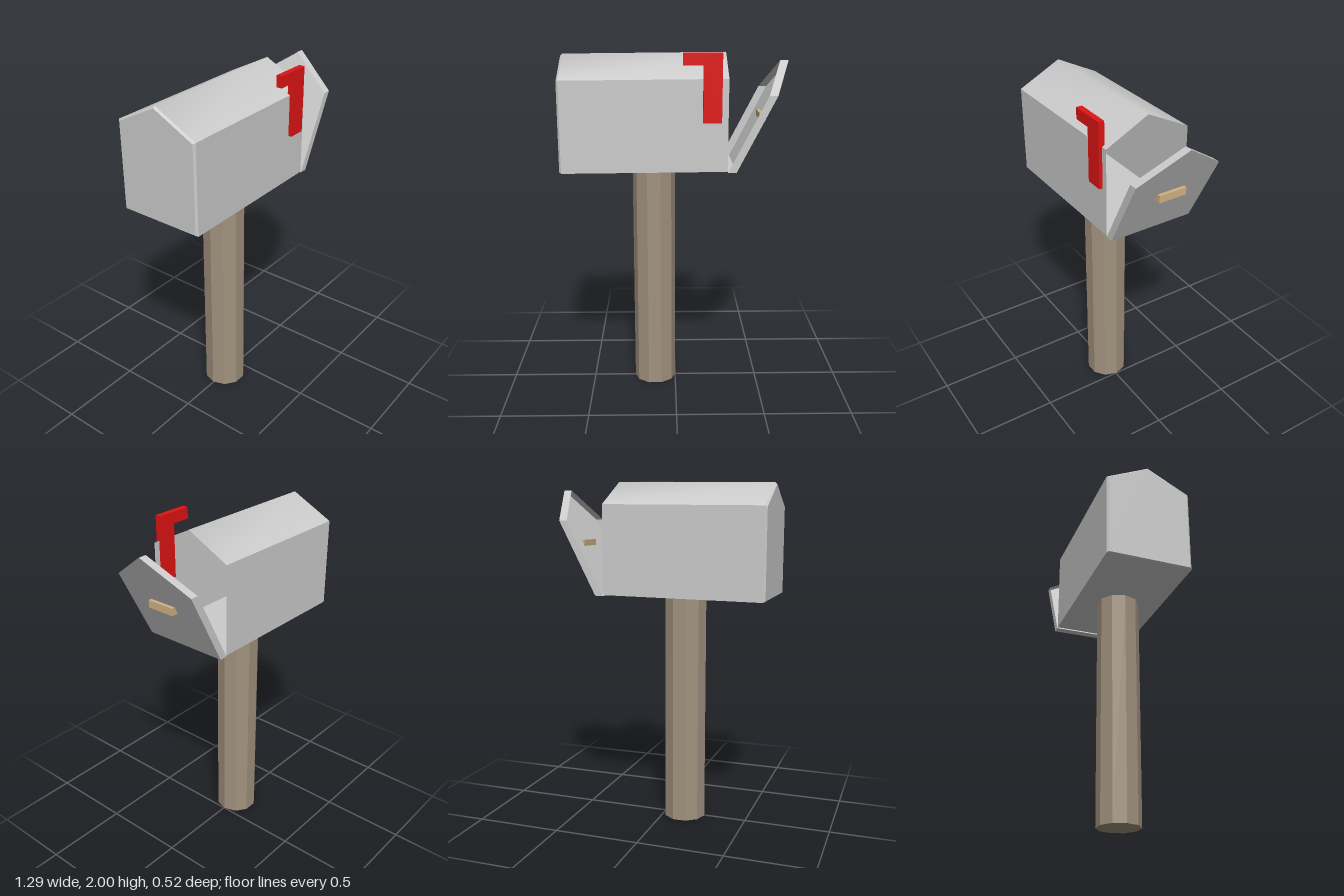
import * as THREE from 'three';
import { toCreasedNormals } from 'three/addons/utils/BufferGeometryUtils.js';

const MID_Z = -0.009;

// Five-cornered house outline; xAt gives x for each height
function houseRing(xAt, half, bottom, eave, ridge) {
  return [[bottom, -half], [bottom, half], [eave, half], [ridge, 0], [eave, -half]]
    .map(([y, z]) => new THREE.Vector3(xAt(y), y, MID_Z + z));
}

// Skin between two outlines (a towards -x, b towards +x), optionally closing one end
function houseShell(a, b, cap) {
  const pts = [];
  for (let i = 0; i < 5; i++) {
    const j = (i + 1) % 5;
    pts.push(a[i], b[j], a[j], a[i], b[i], b[j]);
  }
  for (let i = 1; i < 4; i++) {
    if (cap === 'a') pts.push(a[0], a[i], a[i + 1]);
    if (cap === 'b') pts.push(b[0], b[i + 1], b[i]);
  }
  const geo = new THREE.BufferGeometry().setFromPoints(pts);
  geo.computeVertexNormals();
  return geo;
}

export function createModel() {
  const group = new THREE.Group();
  const sheet = new THREE.MeshStandardMaterial({ color: 0xcccccc, side: THREE.DoubleSide });
  const wood = new THREE.MeshStandardMaterial({ color: 0xa1927e, flatShading: true });
  const brass = new THREE.MeshStandardMaterial({ color: 0xd0b284 });
  const red = new THREE.MeshStandardMaterial({ color: 0xe01414 });

  const add = (name, geo, mat) => {
    const mesh = new THREE.Mesh(geo, mat);
    mesh.name = name;
    group.add(mesh);
    return mesh;
  };

  // Ten-sided wooden post
  add('post', new THREE.CylinderGeometry(0.124, 0.124, 1.348, 10, 1, false, Math.PI / 10), wood)
    .position.set(-0.124, 0.674, -0.004);

  // Thin hollow body, open at the door end, softly shaded across the ridge
  const mouth = houseRing(() => 0.287, 0.251, 1.355, 1.863, 1.99);
  const rear = houseRing(() => -0.634, 0.251, 1.347, 1.855, 1.981);
  const back = houseRing(() => -0.645, 0.24, 1.354, 1.848, 1.97);
  add('body', toCreasedNormals(houseShell(rear, mouth), 1.0), sheet);
  add('backPanel', houseShell(back, rear, 'a'), sheet);

  // Open door leaning outwards: a shallow tray, hollow on its inner side
  const lean = (offset) => (y) => offset + (y - 1.35) * 0.512;
  const inner = houseRing(lean(0.29), 0.253, 1.35, 1.772, 1.945);
  const outer = houseRing(lean(0.337), 0.253, 1.35, 1.772, 1.945);
  add('door', houseShell(inner, outer, 'b'), sheet);

  // Handle pushed through the door
  add('doorHandle', new THREE.BoxGeometry(0.038, 0.042, 0.165), brass)
    .position.set(0.495, 1.636, -0.011);

  // Raised signal flag
  const flag = new THREE.Shape();
  [[0.147, 1.627], [0.25, 1.627], [0.25, 2], [0.037, 2], [0.037, 1.935], [0.147, 1.935]]
    .forEach(([x, y], i) => (i ? flag.lineTo(x, y) : flag.moveTo(x, y)));
  add('signalFlag', new THREE.ExtrudeGeometry(flag, { depth: 0.034, bevelEnabled: false }), red)
    .position.z = 0.228;

  return group;
}
